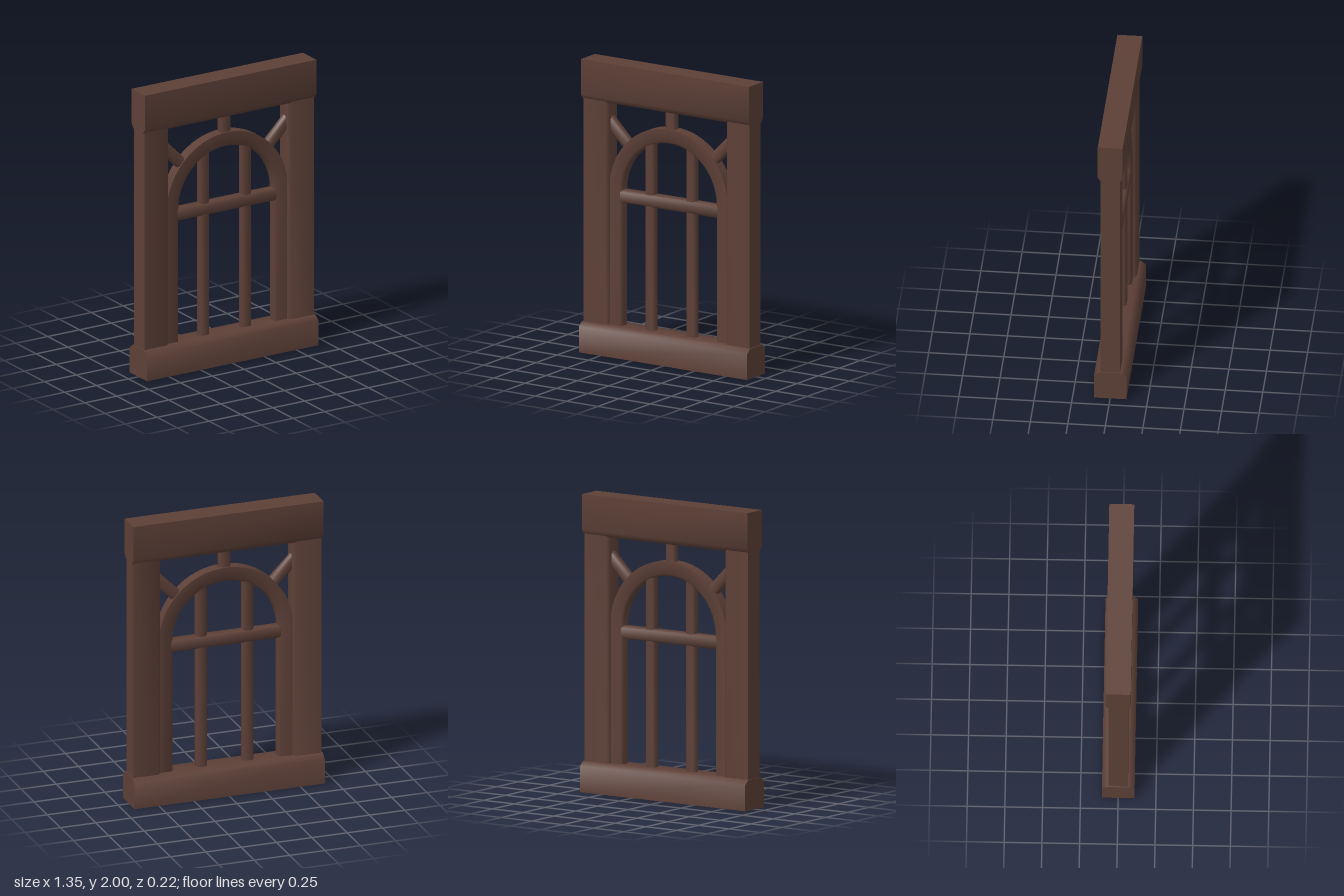
import * as THREE from 'three';
import { toCreasedNormals } from 'three/addons/utils/BufferGeometryUtils.js';

const wood = new THREE.MeshStandardMaterial({ color: 0x5d4037 });
wood.name = 'brown wood';
const CREASE = 1.0;

// Prism with the given outline, running along z and centred on its length
function prism(points, length) {
  const shape = new THREE.Shape(points.map(([x, y]) => new THREE.Vector2(x, y)));
  const g = new THREE.ExtrudeGeometry(shape, { depth: length, bevelEnabled: false });
  g.translate(0, 0, -length / 2);
  return toCreasedNormals(g, CREASE);
}

// Rectangle with cut corners, w and h being half sizes
function cutRect(w, h, c) {
  return [[w - c, -h], [w, -h + c], [w, h - c], [w - c, h],
    [-w + c, h], [-w, h - c], [-w, -h + c], [-w + c, -h]];
}

// Arched frame: a cross-section carried up one leg, round the arch and down the other
function archGeometry(outer, inner, depth, cut, springY, baseY) {
  const profile = [[outer, -depth], [outer, depth], [inner + cut, depth],
    [inner, depth - cut], [inner, cut - depth], [inner + cut, -depth]];
  const path = [[0, baseY]];
  const steps = 32;
  for (let i = 0; i <= steps; i++) path.push([Math.PI * i / steps, springY]);
  path.push([Math.PI, baseY]);

  const n = profile.length;
  const positions = [];
  const index = [];
  for (const [a, y] of path) {
    for (const [r, z] of profile) positions.push(Math.cos(a) * r, y + Math.sin(a) * r, z);
  }
  for (let i = 0; i < path.length - 1; i++) {
    for (let j = 0; j < n; j++) {
      const a = i * n + j, b = i * n + (j + 1) % n;
      index.push(a, a + n, b, b, a + n, b + n);
    }
  }
  const g = new THREE.BufferGeometry();
  g.setAttribute('position', new THREE.Float32BufferAttribute(positions, 3));
  g.setIndex(index);
  return toCreasedNormals(g, CREASE);
}

export function createModel() {
  const model = new THREE.Group();
  model.name = 'archedWindowFrame';

  function add(name, geometry, x = 0, y = 0) {
    const mesh = new THREE.Mesh(geometry, wood);
    mesh.name = name;
    mesh.position.set(x, y, 0);
    model.add(mesh);
    return mesh;
  }
  const across = (points, length) => prism(points, length).rotateY(Math.PI / 2);
  const upright = (points, length) => prism(points, length).rotateX(-Math.PI / 2);

  // Sill with sloped upper edges, lintel with sloped lower edges
  add('sill', across([[-0.108, 0], [0.108, 0], [0.108, 0.175], [0.07, 0.205],
    [-0.07, 0.205], [-0.108, 0.175]], 1.345));
  add('lintel', across([[-0.06, 1.725], [0.06, 1.725], [0.083, 1.76], [0.083, 2],
    [-0.083, 2], [-0.083, 1.76]], 1.345));

  // Arched inner frame
  add('arch', archGeometry(0.475, 0.375, 0.04, 0.015, 1.13, 0.19));

  // Crossbar
  add('crossbar', across(cutRect(0.039, 0.043, 0.014), 0.82), 0, 1.092);

  // Short strut from the arch to the lintel
  add('topStrut', upright(cutRect(0.04, 0.03, 0.015), 0.18), 0, 1.66);

  for (const s of [1, -1]) {
    const side = s > 0 ? 'left' : 'right';

    // Side post with its two inner edges cut
    const post = [[0.665, -0.065], [0.665, 0.065], [0.488, 0.065], [0.47, 0.047],
      [0.47, -0.047], [0.488, -0.065]].map(([x, z]) => [x * s, z]);
    add(side + 'Post', upright(post, 1.56), 0, 0.97);

    // Mullion
    add(side + 'Mullion', upright(cutRect(0.0385, 0.03, 0.015), 1.32), s * 0.164, 0.85);

    // Diagonal brace between arch and post
    const brace = add(side + 'Brace', upright(cutRect(0.04, 0.03, 0.015), 0.28), s * 0.415, 1.515);
    brace.rotation.z = -s * Math.PI / 4;
  }
  return model;
}
